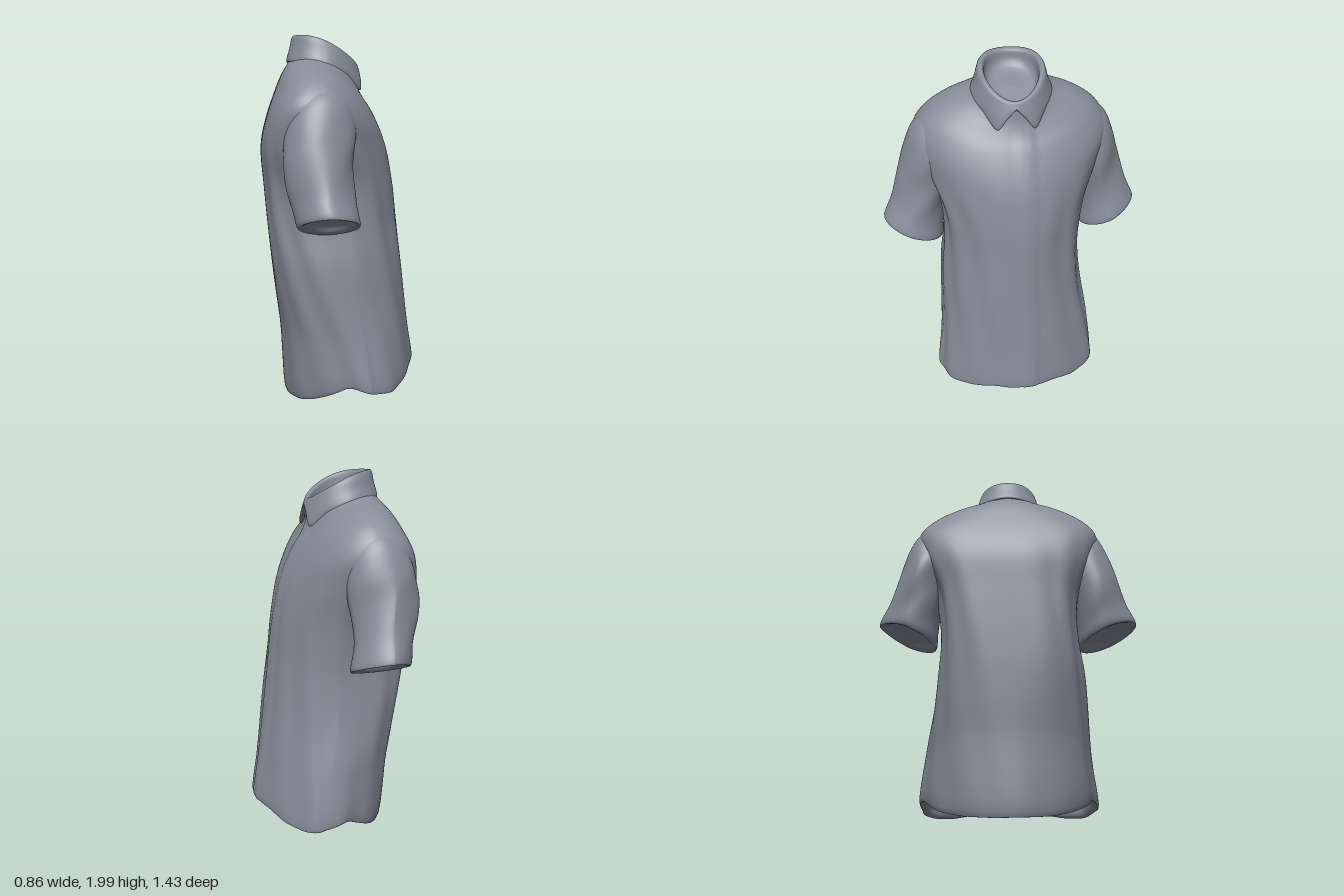
import * as THREE from 'three';

const fabric = new THREE.MeshStandardMaterial({ color: 0x858c98, side: THREE.DoubleSide });
fabric.name = 'grey fabric';

const SEG = 128;
const { sin, cos, abs, sign, pow, PI } = Math;
const smooth = THREE.MathUtils.smoothstep;
const power = (v, e) => sign(v) * pow(abs(v), e);

// Straight interpolation through [input, output] pairs
function lookup(pairs, v) {
  for (let i = 1; i < pairs.length; i++) {
    const [a, p] = pairs[i - 1], [b, q] = pairs[i];
    if (v <= b) return p + (q - p) * Math.max(0, (v - a) / (b - a));
  }
  return pairs[pairs.length - 1][1];
}

// Skin over rings (functions of an angle), smoothed along the length
function loft(rings, steps, adjust) {
  const rows = (rings.length - 1) * steps, pos = [], index = [];
  const curves = [];
  for (let j = 0; j < SEG; j++) {
    const a = (j / SEG) * PI * 2;
    curves.push(new THREE.CatmullRomCurve3(rings.map((r) => r(a)), false, 'centripetal'));
  }
  for (let i = 0; i <= rows; i++) {
    for (let j = 0; j < SEG; j++) {
      const p = curves[j].getPoint(i / rows);
      if (adjust) adjust(p, (j / SEG) * PI * 2);
      pos.push(p.x, p.y, p.z);
      if (i === rows) continue;
      const a = i * SEG + j, b = i * SEG + (j + 1) % SEG;
      index.push(a, b, a + SEG, b, b + SEG, a + SEG);
    }
  }
  const g = new THREE.BufferGeometry();
  g.setAttribute('position', new THREE.Float32BufferAttribute(pos, 3));
  g.setIndex(index);
  g.computeVertexNormals();
  return g;
}

// Body ring: back, front and side points, with the squareness of back and front
function bodyRing(xb, yb, xf, yf, w, ys, xs, nBack, nFront, height) {
  return (a) => {
    const e = 2 / (cos(a) < 0 ? nBack : nFront);
    const c = power(cos(a), e), s = power(sin(a), e);
    const bend = (side, back, front) =>
      side + (front - back) / 2 * c + ((front + back) / 2 - side) * c * c;
    const y = bend(ys, yb, yf) + (height ? height(c, a) : 0);
    return new THREE.Vector3(bend(xs, xb, xf), y, w * s);
  };
}

function makeTorso() {
  // Shirt tail: long at the back, notched at the sides
  const hem = (c) => lookup([[-1, 0], [-0.88, 0.02], [-0.72, 0.055], [-0.5, 0.11], [-0.32, 0.152],
    [-0.22, 0.152], [0.1, 0.12], [0.35, 0.11], [0.6, 0.125], [0.85, 0.16], [1, 0.17]], c);
  const rings = [
    [-0.25, 1.90, 0.088, 1.80, 0.15, 1.88, -0.08, 2.2, 1.9],
    [-0.28, 1.85, 0.10, 1.73, 0.22, 1.835, -0.09, 2.2, 1.9],
    [-0.32, 1.78, 0.125, 1.67, 0.35, 1.785, -0.11, 2.4, 1.9],
    [-0.36, 1.68, 0.17, 1.60, 0.455, 1.715, -0.12, 2.7, 1.9],
    [-0.40, 1.56, 0.22, 1.50, 0.515, 1.61, -0.13, 3.1, 1.9],
    [-0.43, 1.41, 0.26, 1.39, 0.475, 1.44, -0.11, 3.5, 1.95],
    [-0.42, 1.20, 0.297, 1.20, 0.395, 1.22, -0.05, 3.9, 2.0],
    [-0.405, 1.00, 0.32, 1.00, 0.377, 1.00, -0.01, 4.0, 1.85],
    [-0.385, 0.80, 0.345, 0.80, 0.395, 0.80, 0.02, 3.5, 1.7],
    [-0.36, 0.60, 0.37, 0.60, 0.413, 0.60, 0.055, 3.0, 1.6],
    [-0.335, 0.40, 0.395, 0.40, 0.437, 0.40, 0.09, 2.5, 1.55],
  ].map((r) => bodyRing(...r));
  // Hem, folded lip and shallow hollow inside
  rings.push(
    bodyRing(-0.305, 0, 0.422, 0, 0.467, 0, 0.12, 2, 1.5, hem),
    bodyRing(-0.285, 0.012, 0.40, 0.012, 0.447, 0.012, 0.12, 2, 1.5, hem),
    bodyRing(-0.27, 0.07, 0.375, 0.21, 0.425, 0.175, 0.11, 2, 1.6),
    bodyRing(-0.14, 0.16, 0.22, 0.235, 0.24, 0.21, 0.06, 2, 1.8),
    () => new THREE.Vector3(0.05, 0.22, 0));
  // Soft folds, a slight lean and the raised button band
  return loft(rings, 6, (p, a) => {
    const fade = smooth(1.7 - p.y, 0, 0.5) * Math.min(1, Math.hypot(p.x, p.z) / 0.3);
    const side = 0.4 + 0.6 * sin(a) ** 2;
    const d = fade * side * (0.007 * sin(7 * a + 3 * p.y) * sin(2 * a - 4 * p.y + 1)
      + 0.005 * sin(13 * a - 5 * p.y));
    p.x += cos(a) * d;
    p.z += sin(a) * d + 0.018 * Math.exp(-(((p.y - 0.8) / 0.3) ** 2));
    if (p.x > 0.05 && cos(a) > 0.5) {
      p.x += 0.008 * smooth(p.z, -0.095, -0.07) * (1 - smooth(p.z, -0.01, 0.012));
    }
  });
}

// Sleeve: each ring spans an outer and an inner point, a depth range and an outer roundness
function makeSleeve(s, tip) {
  const shift = s < 0 ? -0.02 : 0;
  const ring = ([zo, yo, zi, yi, xb, xf, n]) => (a) => {
    const e = cos(a) > 0 ? 2 / n : 1;
    const c = power(cos(a), e), d = power(sin(a), e);
    return new THREE.Vector3(
      (xb + xf) / 2 - s * d * (xf - xb) / 2 + shift,
      (yo + yi) / 2 + c * (yo - yi) / 2,
      s * ((zo + zi) / 2 + c * (zo - zi) / 2));
  };
  const rings = [
    [0.30, 1.76, 0.22, 1.45, -0.24, 0.02, 2],
    [0.42, 1.725, 0.25, 1.38, -0.28, 0.035, 2],
    [0.51, 1.655, 0.30, 1.32, -0.31, 0.04, 2],
    [0.565, 1.54, 0.34, 1.27, -0.33, 0.032, 1.9],
    [0.61, 1.40, 0.37, 1.18, -0.325, 0.02, tip],
    [0.665, 1.22, 0.385, 1.06, -0.288, 0.026, tip],
    [0.715, 1.10, 0.395, 0.97, -0.26, 0.045, tip],
    [0.69, 1.10, 0.42, 0.985, -0.235, 0.02, tip],
    [0.65, 1.115, 0.44, 1.02, -0.20, -0.01, tip],
    [0.535, 1.09, 0.535, 1.09, -0.105, -0.105, 2],
  ].map(ring);
  return loft(rings, 5, (p, a) => {
    const fade = smooth(p.y, 1.05, 1.2) * (1 - smooth(p.y, 1.4, 1.6));
    p.x += 0.006 * fade * sin(16 * p.y + 3 * a);
  });
}

function makeCollar() {
  // Lower edge dips to a point on each side of the front
  const edge = (c, a) => lookup([[0, 1.815], [0.25, 1.765], [0.48, 1.705], [0.58, 1.71], [0.9, 1.78],
    [1.5, 1.835], [PI, 1.86]], Math.min(a, 2 * PI - a));
  const fold = (inset, lift) => {
    const base = bodyRing(-0.285 + inset, lift, 0.112 - inset, lift, 0.208 - inset, lift, -0.09,
      2.1, 1.85, edge);
    return (a) => {
      const p = base(a), t = Math.min(a, 2 * PI - a);
      p.x += 0.024 * Math.exp(-(((t - 0.5) / 0.25) ** 2));
      return p;
    };
  };
  return loft([
    () => new THREE.Vector3(-0.08, 1.855, 0),
    bodyRing(-0.19, 1.90, 0.04, 1.80, 0.11, 1.855, -0.08, 2.1, 1.9),
    bodyRing(-0.218, 1.94, 0.07, 1.82, 0.135, 1.89, -0.08, 2.1, 1.9),
    bodyRing(-0.225, 1.985, 0.08, 1.845, 0.142, 1.95, -0.08, 2.1, 1.9),
    bodyRing(-0.25, 1.993, 0.098, 1.845, 0.165, 1.955, -0.08, 2.1, 1.9),
    bodyRing(-0.268, 1.93, 0.106, 1.83, 0.188, 1.89, -0.085, 2.1, 1.9),
    fold(0, 0),
    fold(0.025, 0.01),
  ], 4);
}

export function createModel() {
  const model = new THREE.Group();
  model.name = 'shirt';
  const add = (name, geometry) => {
    const mesh = new THREE.Mesh(geometry, fabric);
    mesh.name = name;
    model.add(mesh);
  };
  add('torso', makeTorso());
  add('sleeveLeft', makeSleeve(1, 1.8));
  add('sleeveRight', makeSleeve(-1, 1.5));
  add('collar', makeCollar());
  return model;
}
